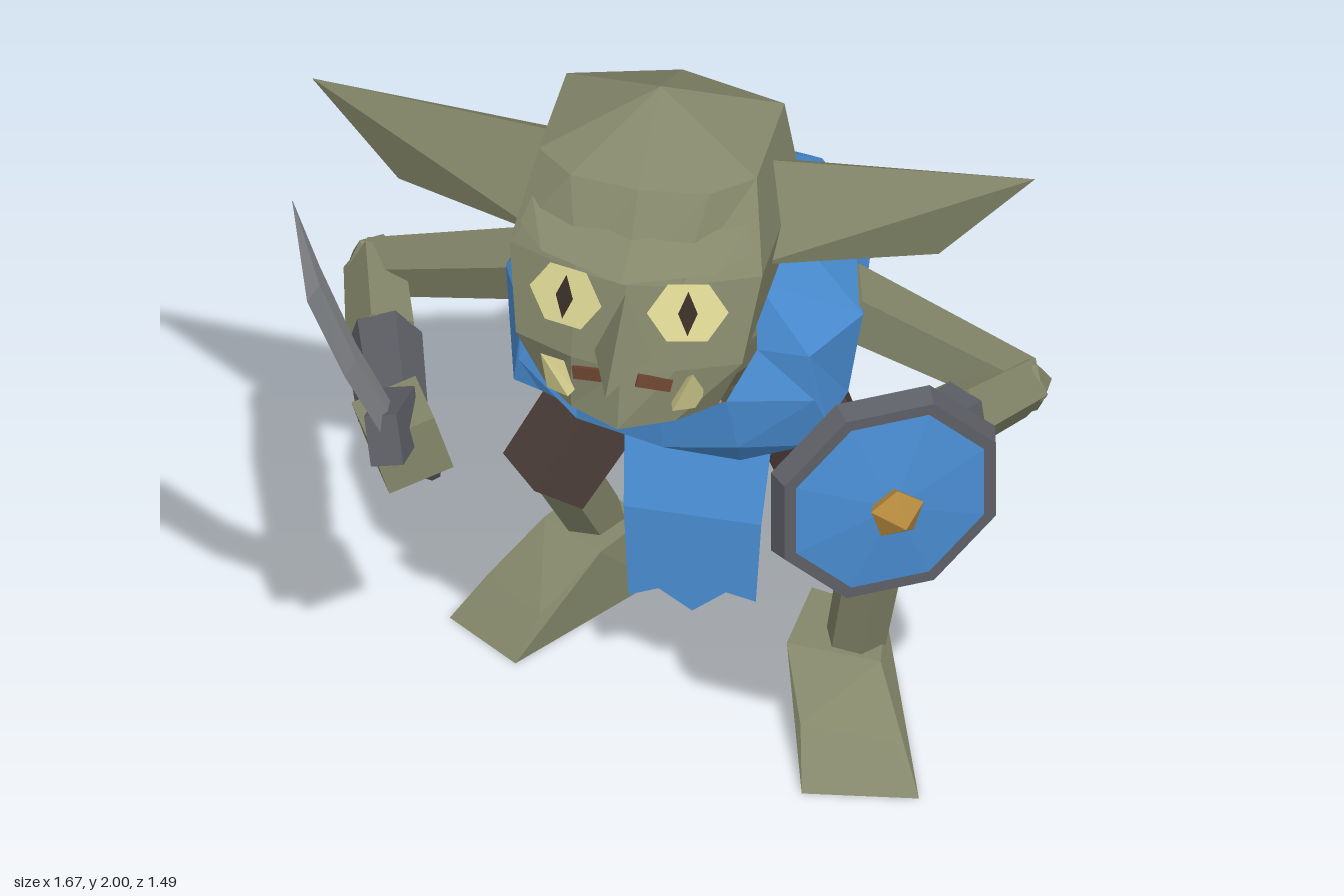
import * as THREE from 'three';
import { ConvexGeometry } from 'three/addons/geometries/ConvexGeometry.js';

const mat = (name, color, side = THREE.FrontSide) =>
  Object.assign(new THREE.MeshStandardMaterial({ color, side }), { name });
const V = (x, y, z) => new THREE.Vector3(x, y, z);

export function createModel() {
  const model = new THREE.Group();
  model.name = 'goblinWarrior';
  const skin = mat('skin', 0x84876a);
  const blue = mat('blueCloth', 0x4a8ed4, THREE.DoubleSide);
  const trousers = mat('trousers', 0x4b3d38);
  const leather = mat('leather', 0x6e4531);
  const metal = mat('metal', 0x5d5f66);
  const steel = mat('bladeSteel', 0x85888b);
  const gold = mat('gold', 0xb58a3e);
  const ivory = mat('ivory', 0xdfd996);
  const dark = mat('dark', 0x3a2f28);

  // Adds a faceted mesh
  function add(name, geo, material, parent = model) {
    const g = geo.index ? geo.toNonIndexed() : geo;
    g.computeVertexNormals();
    const mesh = new THREE.Mesh(g, material);
    mesh.name = name;
    parent.add(mesh);
    return mesh;
  }
  // Convex solid around a few corner points; s = -1 mirrors in x
  const hull = (name, material, pts, s = 1) =>
    add(name, new ConvexGeometry(pts.map(([x, y, z]) => V(s * x, y, z))), material);
  // Straight tapered limb between two points
  function limb(name, material, a, b, ra, rb, n = 6) {
    const p = V(...a), d = V(...b).sub(p);
    const mesh = add(name, new THREE.CylinderGeometry(rb, ra, d.length(), n), material);
    mesh.position.copy(p).addScaledVector(d, 0.5);
    mesh.quaternion.setFromUnitVectors(V(0, 1, 0), d.normalize());
    return mesh;
  }
  // Skin through rows of points; closed rows are capped at both ends
  function loft(name, material, rows, closed = true) {
    const n = rows[0].length, idx = [];
    for (let i = 0; i < rows.length - 1; i++) {
      for (let j = 0; j < (closed ? n : n - 1); j++) {
        const k = (j + 1) % n, a = i * n + j, b = i * n + k;
        idx.push(a, b, b + n, a, b + n, a + n);
      }
    }
    const last = (rows.length - 1) * n;
    if (closed) for (let j = 1; j < n - 1; j++) idx.push(0, j + 1, j, last, last + j, last + j + 1);
    const g = new THREE.BufferGeometry();
    g.setAttribute('position', new THREE.Float32BufferAttribute(rows.flat(2), 3));
    g.setIndex(idx);
    return add(name, g, material);
  }
  // Eight-sided ring around the spine, leaning forward by tilt
  const ring = (y, z, rx, rz, tilt) => Array.from({ length: 8 }, (_, j) => {
    const t = (j + 0.5) / 8 * Math.PI * 2, l = -rz * Math.sin(t);
    return [rx * Math.cos(t), y - l * Math.sin(tilt), z + l * Math.cos(tilt)];
  });

  // Hunched body
  loft('torso', skin, [ring(0.83, -0.42, 0.22, 0.22, 0.3), ring(1.04, -0.32, 0.25, 0.25, 0.45),
    ring(1.2, -0.12, 0.25, 0.27, 0.45), ring(1.29, 0, 0.22, 0.22, 0.45), ring(1.42, 0.06, 0.21, 0.15, 0.3)]);
  loft('pelvis', trousers, [ring(0.62, -0.47, 0.2, 0.215, 0.25), ring(0.75, -0.43, 0.24, 0.24, 0.25)]);
  loft('belt', leather, [ring(0.74, -0.43, 0.25, 0.25, 0.27), ring(0.87, -0.4, 0.25, 0.25, 0.27)]);
  const buckle = add('buckle', new THREE.BoxGeometry(0.1, 0.08, 0.05), gold);
  buckle.position.set(0.01, 0.81, -0.165);
  buckle.rotation.x = 0.2;

  // Head
  const headRing = (y, zc, hf, zf, hw, mf, mb, zb) => [[hw, y, mb], [0, y, zb], [-hw, y, mb],
    [-hw, y, mf], [-hf, y, zf], [0, y, zc], [hf, y, zf], [hw, y, mf]];
  loft('head', skin, [headRing(1.36, 0.62, 0.12, 0.56, 0.2, 0.48, 0.08, 0),
    headRing(1.5, 0.585, 0.12, 0.56, 0.26, 0.5, 0.05, -0.03),
    headRing(1.7, 0.53, 0.12, 0.505, 0.29, 0.43, 0.05, -0.05),
    headRing(1.88, 0.41, 0.16, 0.39, 0.25, 0.31, 0.03, -0.04),
    headRing(2, 0.18, 0, 0.18, 0, 0.18, 0.18, 0.18)]);
  hull('nose', skin, [[0, 1.69, 0.52], [0.07, 1.53, 0.55], [-0.07, 1.53, 0.55], [0, 1.5, 0.56], [0, 1.54, 0.74]]);
  for (const s of [1, -1]) {
    const side = s > 0 ? 'left' : 'right';
    hull(side + 'Ear', skin, [[0.83, 1.78, 0.05], [0.62, 1.57, 0.1], [0.24, 1.84, 0.19],
      [0.25, 1.62, 0.29], [0.25, 1.62, 0.1], [0.24, 1.76, 0.08]], s);
    hull(side + 'Brow', skin, [[0, 1.79, 0.48], [0, 1.74, 0.58], [0, 1.73, 0.48], [0.2, 1.75, 0.51],
      [0.25, 1.8, 0.38], [0.265, 1.76, 0.43], [0.24, 1.76, 0.36]], s);
    hull(side + 'Tusk', ivory, [[0.175, 1.55, 0.625], [0.18, 1.42, 0.52], [0.11, 1.41, 0.56],
      [0.12, 1.41, 0.59], [0.17, 1.42, 0.58], [0.14, 1.47, 0.54]], s);
    const mouth = add(side + 'Mouth', new THREE.BoxGeometry(0.08, 0.03, 0.009), leather);
    mouth.position.set(s * 0.075, 1.473, 0.578);
    mouth.rotation.set(-0.12, s * 0.3, s * -0.2);
    // Eye plates lying on the cheek facet
    const n = V(s * 0.3, 0.28, 1).normalize();
    [['Eye', ivory, 6, 0.092, 0.08, 0.008], ['Pupil', dark, 4, 0.022, 0.054, 0.014]].forEach(([part, m, k, w, h, out]) => {
      const plate = add(side + part, new THREE.CircleGeometry(1, k).scale(w, h, 1), m);
      plate.position.set(s * 0.138, 1.64, 0.517).addScaledVector(n, out);
      plate.quaternion.setFromUnitVectors(V(0, 0, 1), n);
    });
  }

  // Cape over the shoulders; half rows are mirrored about the middle
  const arch = (c, ...half) => [...half.map(([x, y, z]) => [-x, y, z]).reverse(), c, ...half];
  loft('cape', blue, [
    arch([0, 1.47, 0.02], [0.2, 1.42, 0.1], [0.33, 1.25, 0.13], [0.36, 1.03, 0.08]),
    arch([0, 1.55, -0.05], [0.26, 1.46, -0.04], [0.41, 1.24, -0.06], [0.38, 1.03, -0.04]),
    arch([0, 1.5, -0.27], [0.28, 1.42, -0.24], [0.34, 1.34, -0.26], [0.38, 1.24, -0.26]),
    arch([0, 1.28, -0.58], [0.2, 1.26, -0.57], [0.3, 1.25, -0.45], [0.37, 1.13, -0.45]),
    arch([0, 1.15, -0.61], [0.16, 0.98, -0.69], [0.28, 1.17, -0.48], [0.37, 1.13, -0.45]),
  ], false);
  loft('capeFront', blue, [
    [[-0.2, 1.42, 0.1], [-0.21, 1.25, 0.13], [-0.14, 1.14, 0.18], [0, 1.07, 0.18], [0.15, 1.13, 0.18], [0.21, 1.25, 0.13], [0.2, 1.42, 0.1]],
    [[-0.33, 1.25, 0.13], [-0.34, 1.12, 0.12], [-0.2, 1, 0.15], [0, 0.96, 0.16], [0.17, 0.98, 0.15], [0.34, 1.12, 0.12], [0.33, 1.25, 0.13]],
    [[-0.36, 1.03, 0.08], [-0.3, 1.01, 0.08], [-0.16, 0.95, 0.08], [0, 0.94, 0.1], [0.16, 0.89, 0.08], [0.32, 0.96, 0.08], [0.36, 1.03, 0.08]],
  ], false);

  // Hanging loincloths with ragged hems
  const clothXs = [-0.16, -0.08, 0.01, 0.1, 0.18];
  const hem = [0, 0.03, -0.02, 0.045, 0.03];
  for (const [name, rows] of [['frontCloth', [[0.78, -0.16], [0.57, -0.1], [0.32, -0.1]]],
    ['backCloth', [[0.81, -0.7], [0.57, -0.75], [0.34, -0.75]]]]) {
    loft(name, blue, rows.map(([y, z], i) => clothXs.map((x, j) => [x * (1 - 0.07 * i), y + (i === 2 ? hem[j] : 0), z])), false);
  }

  // Legs, left one stepping forward
  limb('leftThigh', trousers, [0.16, 0.82, -0.37], [0.405, 0.44, -0.19], 0.125, 0.115, 5);
  limb('rightThigh', trousers, [-0.16, 0.82, -0.48], [-0.38, 0.43, -0.34], 0.125, 0.115, 5);
  limb('leftShin', skin, [0.41, 0.5, -0.17], [0.35, 0.16, -0.24], 0.075, 0.07);
  limb('rightShin', skin, [-0.37, 0.5, -0.34], [-0.31, 0.16, -0.55], 0.075, 0.07);
  hull('leftFoot', skin, [[0.22, 0.19, -0.38], [0.4, 0.19, -0.33], [0.21, 0.19, -0.17], [0.43, 0.19, -0.15],
    [0.19, 0, -0.38], [0.41, 0, -0.37], [0.28, 0.1, 0], [0.5, 0.08, -0.01], [0.31, 0, 0.12], [0.57, 0, 0.08]]);
  hull('rightFoot', skin, [[-0.34, 0.19, -0.65], [-0.2, 0.19, -0.54], [-0.42, 0.19, -0.5], [-0.27, 0.19, -0.4],
    [-0.34, 0, -0.68], [-0.18, 0, -0.56], [-0.53, 0.08, -0.4], [-0.38, 0.09, -0.27], [-0.6, 0, -0.33], [-0.42, 0, -0.2]]);

  // Arms with metal bracers
  const arms = {
    left: [[0.34, 1.23, -0.12], [0.705, 0.87, -0.35], [0.61, 0.94, -0.11], [0.52, 1.02, 0.16], [0.49, 1.03, 0.27]],
    right: [[-0.3, 1.21, -0.14], [-0.765, 0.98, -0.32], [-0.69, 0.975, -0.06], [-0.61, 0.98, 0.2], [-0.535, 0.98, 0.34]],
  };
  for (const [side, [shoulder, elbow, mid, wrist, hand]] of Object.entries(arms)) {
    limb(side + 'UpperArm', skin, shoulder, elbow, 0.09, 0.07, 5);
    add(side + 'Elbow', new THREE.IcosahedronGeometry(0.075, 0), skin).position.set(...elbow);
    limb(side + 'Forearm', skin, elbow, mid, 0.075, 0.085, 5);
    limb(side + 'Bracer', metal, mid, wrist, 0.088, 0.08);
    limb(side + 'Hand', skin, wrist, hand, 0.11, 0.11, 4);
  }

  // Curved sword
  limb('swordGrip', leather, [-0.53, 0.87, 0.22], [-0.58, 1.06, 0.34], 0.032, 0.03);
  limb('swordPommel', metal, [-0.518, 0.825, 0.195], [-0.53, 0.87, 0.22], 0.02, 0.038);
  const guard = add('swordGuard', new THREE.BoxGeometry(0.075, 0.12, 0.19), metal);
  guard.position.set(-0.578, 1.06, 0.345);
  guard.rotation.set(-0.3, 0, 0.2);
  loft('swordBlade', steel, [[1.07, -0.58, 0.3, 0.41], [1.37, -0.635, 0.46, 0.58], [1.66, -0.695, 0.565, 0.695],
    [1.88, -0.745, 0.62, 0.624]].map(([y, x, back, front], i) => {
    const t = i === 3 ? 0.001 : 0.014, m = (back + front) / 2;
    return [[x + t, y, m], [x, y, back], [x - t, y, m], [x, y, front]];
  }));

  // Octagonal shield
  const shield = new THREE.Group();
  shield.name = 'shield';
  shield.position.set(0.55, 1.04, 0.318);
  shield.rotation.y = 0.55;
  model.add(shield);
  const disc = (name, m, r0, r1, h, z, n = 8) => add(name, new THREE.CylinderGeometry(r0, r1, h, n)
    .rotateY(Math.PI / n).rotateX(Math.PI / 2).translate(0, 0, z), m, shield);
  disc('shieldRim', metal, 0.27, 0.287, 0.05, 0);
  disc('shieldFace', blue, 0.02, 0.245, 0.025, 0.037);
  disc('shieldBack', leather, 0.25, 0.25, 0.008, -0.026);
  disc('shieldBoss', gold, 0.065, 0.05, 0.03, 0.06, 5);
  disc('shieldSpike', gold, 0.002, 0.065, 0.06, 0.105, 5);
  return model;
}
